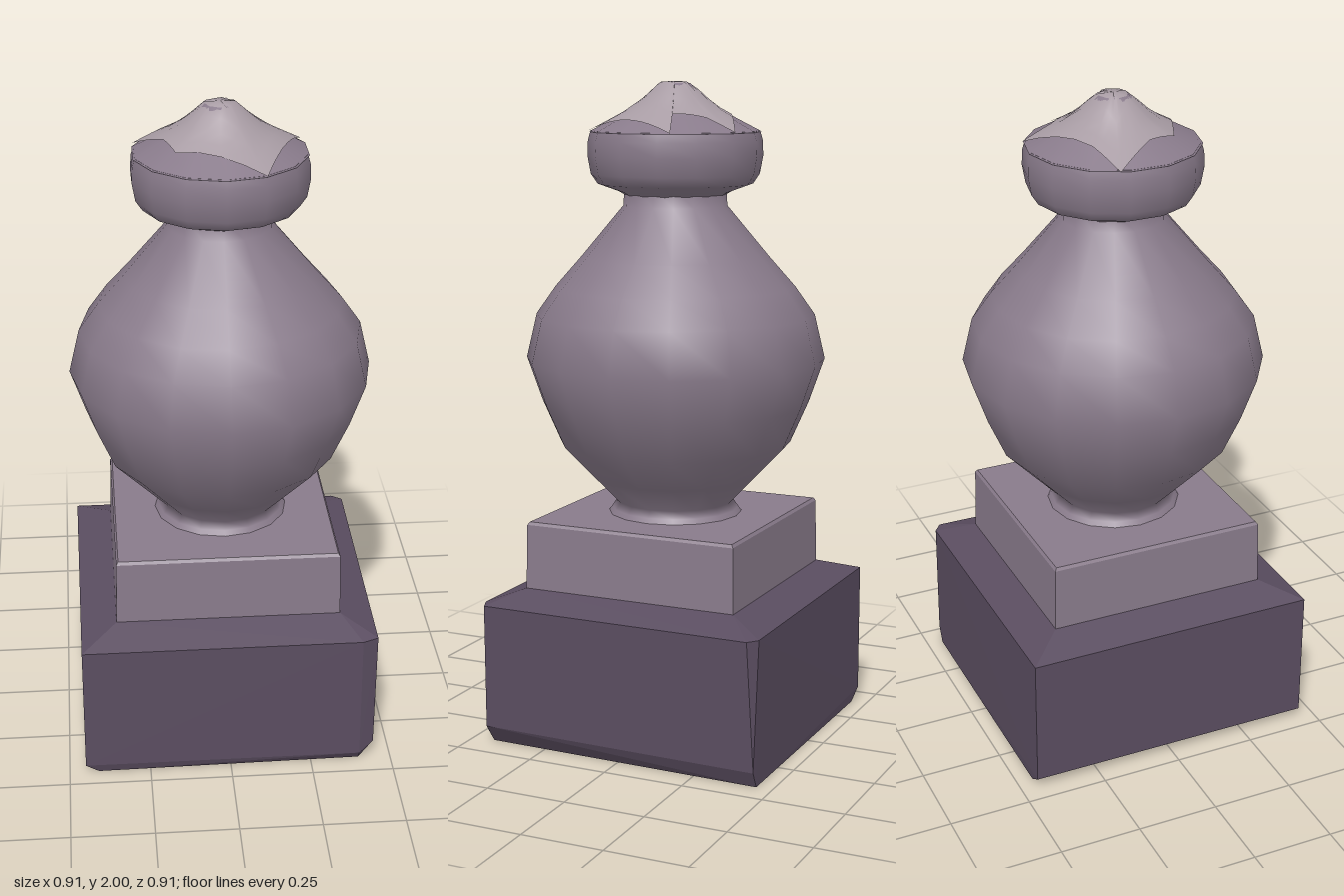
import * as THREE from 'three';
import { ConvexGeometry } from 'three/addons/geometries/ConvexGeometry.js';

const mat = (name, color, side = THREE.FrontSide) => {
  const m = new THREE.MeshStandardMaterial({ color, side });
  m.name = name;
  return m;
};

// Convex block from square rings [halfWidth, y] plus extra corner points
function block(rings, extra = []) {
  const pts = extra.map(p => new THREE.Vector3(...p));
  for (const [r, y] of rings)
    for (const sx of [-1, 1]) for (const sz of [-1, 1]) pts.push(new THREE.Vector3(sx * r, y, sz * r));
  return new ConvexGeometry(pts);
}

const turned = (profile, sides) =>
  new THREE.LatheGeometry(profile.map(p => new THREE.Vector2(...p)), sides);

// Slope of the crown: height at a given radius
const CROWN = [[0.26, 1.85], [0.18, 1.892], [0.12, 1.925], [0.045, 1.993], [0, 1.996]];
function crownHeight(r) {
  for (let i = 1; i < CROWN.length; i++) {
    const [r0, y0] = CROWN[i - 1], [r1, y1] = CROWN[i];
    if (r >= r1) return y0 + (y1 - y0) * (r0 - r) / (r0 - r1);
  }
  return 1.996;
}

// Thin star-shaped patch lying on the crown
function starPatch() {
  const star = [[0.105, -0.24], [0.105, -0.15], [0.15, -0.06], [0.245, -0.095], [0.19, 0.05],
    [0.115, 0.235], [-0.135, 0.13], [-0.165, 0.04], [-0.25, -0.088], [-0.13, -0.12]];
  star[9] = [-0.135, -0.122];
  const outline = [], steps = 4, levels = [1, 0.8, 0.6, 0.4, 0.2, 0];
  star.forEach(([x, z], i) => {
    const [x1, z1] = star[(i + 1) % star.length];
    for (let k = 0; k < steps; k++) outline.push([x + (x1 - x) * k / steps, z + (z1 - z) * k / steps]);
  });
  const pos = [], idx = [], n = outline.length;
  for (const t of levels)
    for (const [x, z] of outline) pos.push(x * t, crownHeight(Math.hypot(x, z) * t) + 0.004, z * t);
  for (let l = 0; l < levels.length - 1; l++)
    for (let i = 0; i < n; i++) {
      const a = l * n + i, b = l * n + (i + 1) % n;
      idx.push(a, a + n, b);
      if (l < levels.length - 2) idx.push(b, a + n, b + n);
    }
  const g = new THREE.BufferGeometry();
  g.setAttribute('position', new THREE.Float32BufferAttribute(pos, 3));
  g.setIndex(idx);
  g.computeVertexNormals();
  return g;
}

export function createModel() {
  const group = new THREE.Group();
  const darkStone = mat('dark stone', 0x5a4d60);
  const stone = mat('stone', 0x897b8b);
  const paleStone = mat('pale stone', 0xa89ca4, THREE.DoubleSide);
  const add = (name, geometry, material) => {
    const mesh = new THREE.Mesh(geometry, material);
    mesh.name = name;
    group.add(mesh);
  };

  // Worn base block with a sloped top and chipped corners
  add('base', block([[0.342, 0.48]], [
    [-0.453, 0.44, -0.453], [0.42, 0.44, -0.455], [0.453, 0.44, -0.43],
    [-0.45, 0.44, 0.45], [0.40, 0.44, 0.45], [0.448, 0.44, 0.43],
    [-0.453, 0.035, -0.453], [0.445, 0.05, -0.45], [-0.45, 0.03, 0.45], [0.40, 0.03, 0.45], [0.445, 0.06, 0.43],
    [-0.40, 0, -0.45], [0.42, 0, -0.45], [-0.41, 0, 0.44], [0.40, 0, 0.43],
  ]), darkStone);

  // Square plinth with a narrow bevel
  add('plinth', block([[0.342, 0.46], [0.338, 0.677], [0.332, 0.686]]), stone);

  // Turned urn with flared foot and neck
  add('urn', turned([[0.21, 0.68], [0.195, 0.70], [0.18, 0.722], [0.255, 0.80], [0.355, 0.905], [0.41, 1.03],
    [0.457, 1.165], [0.425, 1.30], [0.365, 1.385], [0.286, 1.475], [0.157, 1.63], [0.155, 1.69]], 16), stone);

  // Bulging cap
  add('cap', turned([[0.15, 1.66], [0.17, 1.672], [0.235, 1.695], [0.255, 1.725], [0.265, 1.78],
    [0.263, 1.825], [0.255, 1.853]], 14), stone);

  // Crown on the cap, with its pale star
  add('crown', turned(CROWN, 14), stone);
  add('crownStar', starPatch(), paleStone);
  return group;
}
